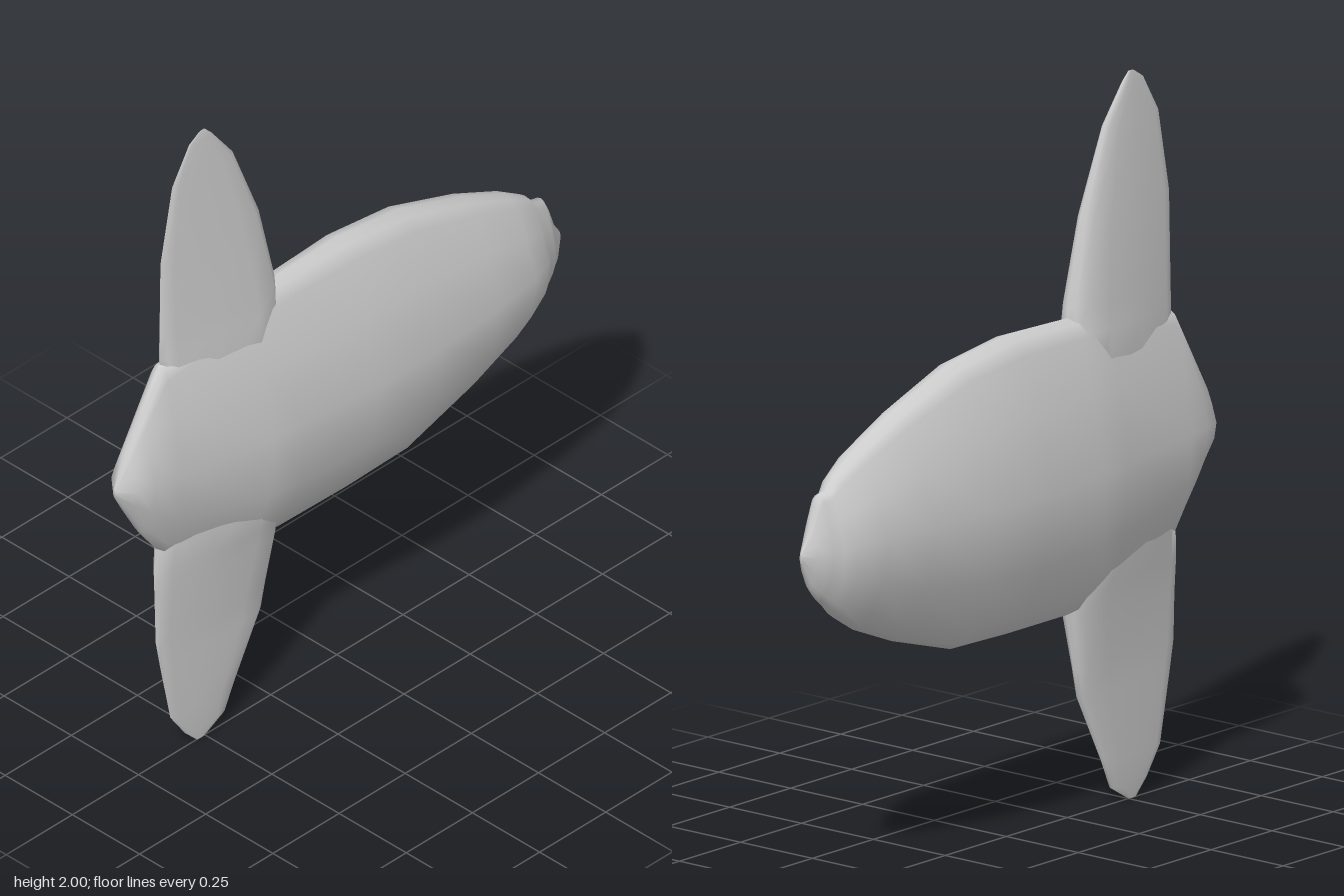
import * as THREE from 'three';

const hull = new THREE.MeshStandardMaterial({ color: 0xcccccc });
hull.name = 'hullGrey';

// Skin a list of rings; each ring runs counter-clockwise about the loft direction
function loft(name, rings) {
  const n = rings[0].length, pos = [], idx = [];
  rings.forEach(r => r.forEach(p => pos.push(...p)));
  for (let i = 0; i < rings.length - 1; i++) {
    for (let j = 0; j < n; j++) {
      const a = i * n + j, b = i * n + (j + 1) % n;
      idx.push(a, b, b + n, a, b + n, a + n);
    }
  }
  // Close both ends with a fan
  const last = (rings.length - 1) * n;
  for (let j = 1; j < n - 1; j++) {
    idx.push(0, j + 1, j, last, last + j, last + j + 1);
  }
  const geo = new THREE.BufferGeometry();
  geo.setAttribute('position', new THREE.Float32BufferAttribute(pos, 3));
  geo.setIndex(idx);
  geo.computeVertexNormals();
  const mesh = new THREE.Mesh(geo, hull);
  mesh.name = name;
  return mesh;
}

// Body stations: z, top, bottom, half width, height of widest line
const bodyStations = [
  [-0.84, 0.955, 0.925, 0.006, 0.94],
  [-0.81, 1.00, 0.85, 0.03, 0.94],
  [-0.785, 1.07, 0.82, 0.045, 0.95],
  [-0.77, 1.10, 0.805, 0.055, 0.95],
  [-0.74, 1.105, 0.78, 0.07, 0.95],
  [-0.71, 1.14, 0.75, 0.09, 0.96],
  [-0.63, 1.19, 0.70, 0.122, 0.97],
  [-0.47, 1.265, 0.635, 0.145, 0.97],
  [-0.23, 1.35, 0.563, 0.16, 0.97],
  [0.0, 1.38, 0.557, 0.16, 0.97],
  [0.25, 1.373, 0.557, 0.137, 0.97],
  [0.36, 1.37, 0.57, 0.125, 0.97],
  [0.67, 1.31, 0.69, 0.079, 0.98],
  [0.75, 1.17, 0.80, 0.064, 0.98],
  [0.80, 1.08, 0.89, 0.052, 0.98],
  [0.84, 0.99, 0.96, 0.006, 0.975]
];

// Right half of the body section, bottom to top: height fraction, width fraction
const bodySection = [
  [-0.96, 0.22], [-0.85, 0.40], [-0.5, 0.85], [0, 1],
  [0.5, 0.70], [0.88, 0.40], [0.97, 0.22]
];

function bodyRing([z, top, bottom, w, mid]) {
  const y = t => mid + t * (t > 0 ? top - mid : mid - bottom);
  const right = bodySection.map(([t, s]) => [w * s, y(t), z]);
  const left = right.map(([x, h]) => [-x, h, z]).reverse();
  return [[0, bottom, z], ...right, [0, top, z], ...left];
}

// Blade stations from root to tip: y, front z, back z, half thickness
const upperBlade = [
  [1.12, 0.66, 0.25, 0.078],
  [1.33, 0.67, 0.247, 0.062],
  [1.40, 0.67, 0.25, 0.055],
  [1.64, 0.667, 0.303, 0.035],
  [1.87, 0.623, 0.395, 0.016],
  [1.975, 0.56, 0.475, 0.007],
  [2.0, 0.52, 0.50, 0.002]
];
const lowerBlade = [
  [0.82, 0.68, 0.25, 0.085],
  [0.63, 0.692, 0.24, 0.062],
  [0.56, 0.69, 0.243, 0.05],
  [0.40, 0.685, 0.276, 0.032],
  [0.32, 0.67, 0.292, 0.027],
  [0.125, 0.63, 0.39, 0.016],
  [0.045, 0.575, 0.425, 0.01],
  [0.0, 0.53, 0.50, 0.002]
];

// Blade section, front edge to back edge: chord fraction, thickness fraction
const bladeSection = [
  [0.97, 0.24], [0.9, 0.42], [0.6, 0.75], [0.25, 1], [0.08, 0.8], [0.02, 0.4]
];

function bladeRing([y, front, back, w]) {
  const right = bladeSection.map(([u, s]) => [w * s, y, back + u * (front - back)]);
  const left = right.map(([x, , z]) => [-x, y, z]).reverse();
  return [[0, y, front], ...right, [0, y, back], ...left];
}

export function createModel() {
  const model = new THREE.Group();
  model.name = 'finnedCraft';
  model.add(loft('body', bodyStations.map(bodyRing)));
  model.add(loft('upperBlade', upperBlade.map(bladeRing)));
  // The lower blade grows downwards, so its rings run the other way
  model.add(loft('lowerBlade', lowerBlade.map(s => bladeRing(s).reverse())));
  return model;
}
